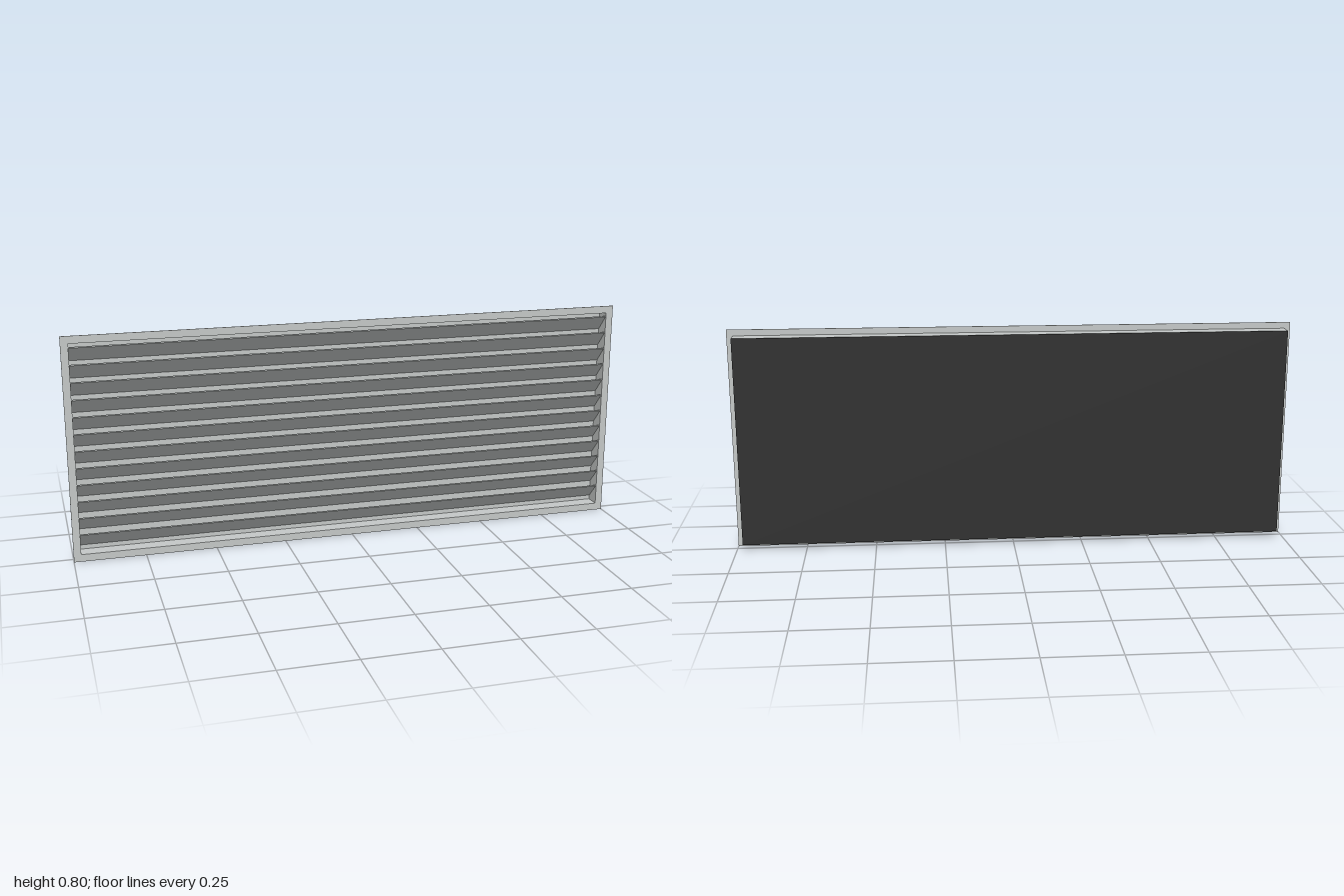
import * as THREE from 'three';

export function createModel() {
  const model = new THREE.Group();
  model.name = 'ventGrille';
  const metal = new THREE.MeshStandardMaterial({ color: 0xc4c8c7 });
  metal.name = 'light grey metal';
  const dark = new THREE.MeshStandardMaterial({ color: 0x303030 });
  dark.name = 'dark backing';

  const H = 0.797, CY = H / 2;
  const SW = 1.956, SH = 0.753;      // sleeve outer size
  const T = 0.004;                   // sheet thickness
  const FRONT = 0.025, BACK = -0.028;

  // Rectangular ring extruded along z from z0 to z1
  function ring(name, w, h, iw, ih, z0, z1) {
    const rect = (S, a, b) => new S([[-a, -b], [a, -b], [a, b], [-a, b]]
      .map(([x, y]) => new THREE.Vector2(x / 2, y / 2)));
    const shape = rect(THREE.Shape, w, h);
    shape.holes.push(rect(THREE.Path, iw, ih));
    const geo = new THREE.ExtrudeGeometry(shape, { depth: z1 - z0, bevelEnabled: false });
    const mesh = new THREE.Mesh(geo, metal);
    mesh.name = name;
    mesh.position.set(0, CY, z0);
    model.add(mesh);
  }

  function plate(name, z0, z1, w, h, material) {
    const mesh = new THREE.Mesh(new THREE.BoxGeometry(w, h, z1 - z0), material);
    mesh.name = name;
    mesh.position.set(0, CY, (z0 + z1) / 2);
    model.add(mesh);
  }

  // Front flange and the sleeve behind it
  ring('flange', 2, H, SW - 2 * T, SH - 2 * T, FRONT, 0.028);
  ring('sleeve', SW, SH, SW - 2 * T, SH - 2 * T, BACK + 0.002, FRONT);

  // Light inner back wall with a dark backing sheet
  plate('innerBackWall', BACK + 0.002, BACK + 0.003, SW - 2 * T, SH - 2 * T, metal);
  plate('backingSheet', BACK, BACK + 0.002, SW, SH, dark);

  // Louvre blades, high at the front and sloping down towards the back
  const z0 = -0.024, z1 = 0.024, drop = 0.053, t = 0.004;
  const profile = new THREE.Shape([
    new THREE.Vector2(-z1, 0), new THREE.Vector2(-z1, -t),
    new THREE.Vector2(-z0, -drop - t), new THREE.Vector2(-z0, -drop),
  ]);
  const bladeLength = SW - 2 * T;
  const bladeGeo = new THREE.ExtrudeGeometry(profile, { depth: bladeLength, bevelEnabled: false });
  bladeGeo.translate(0, 0, -bladeLength / 2);
  bladeGeo.rotateY(Math.PI / 2);     // profile x becomes -z, length runs along x
  for (let i = 0; i < 12; i++) {
    const blade = new THREE.Mesh(bladeGeo, metal);
    blade.name = 'louvreBlade' + (i + 1);
    blade.position.y = 0.759 - 0.06 * i;
    model.add(blade);
  }
  return model;
}
